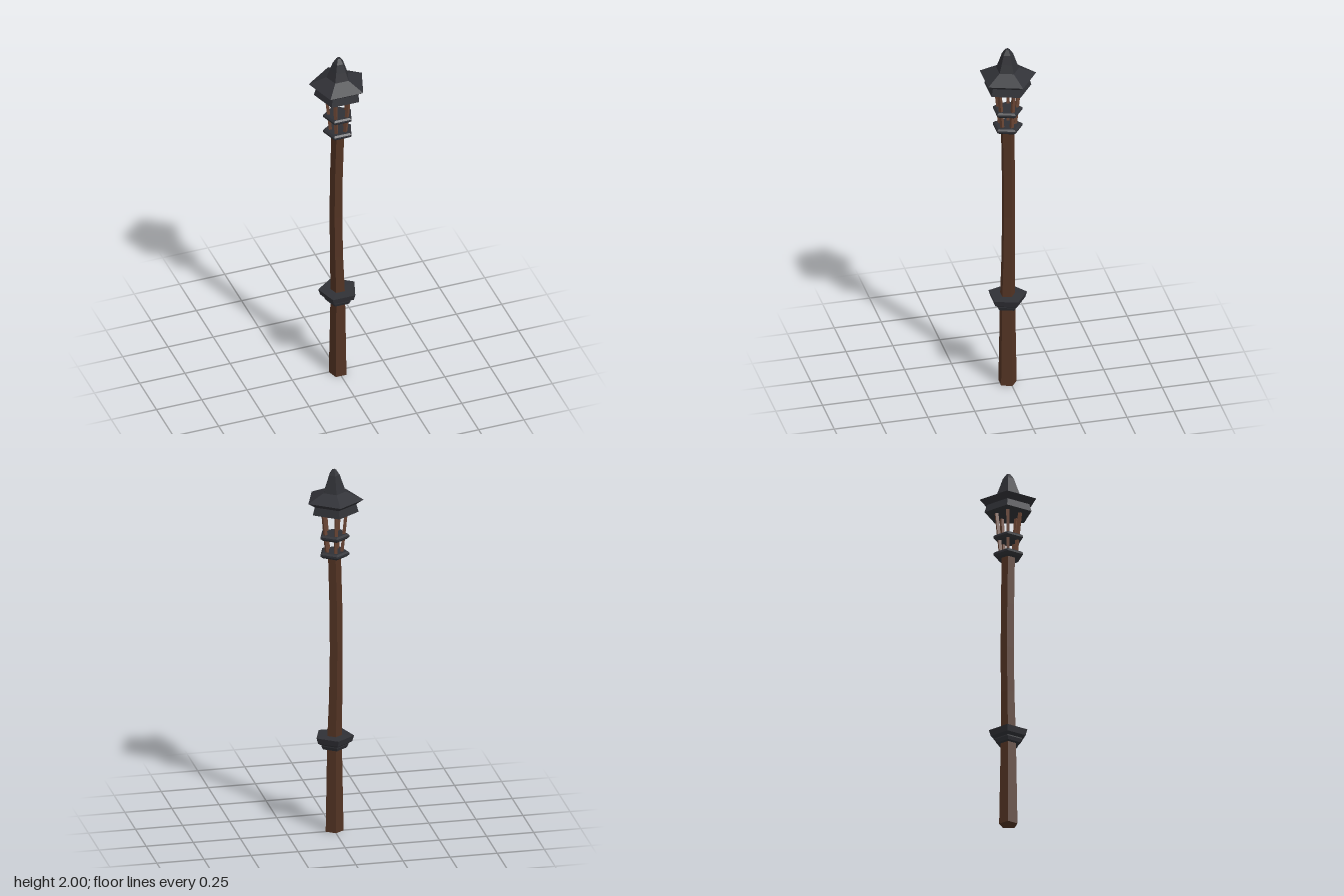
import * as THREE from 'three';

const AXIS_Z = 0.014; // the five-sided axis, offset so the bounds are centred
const wood = new THREE.MeshStandardMaterial({ color: 0x523323, flatShading: true });
const paleWood = new THREE.MeshStandardMaterial({ color: 0x6b4635, flatShading: true });
const metal = new THREE.MeshStandardMaterial({ color: 0x303136, flatShading: true });

// Five-sided turned solid from [radius, height] pairs, one corner facing the back
function pentagonLathe(profile) {
  const points = profile.map(([r, y]) => new THREE.Vector2(r, y));
  return new THREE.LatheGeometry(points, 5, Math.PI);
}

function addPart(group, name, geometry, material) {
  const mesh = new THREE.Mesh(geometry, material);
  mesh.name = name;
  group.add(mesh);
  return mesh;
}

export function createModel() {
  const lamp = new THREE.Group();
  lamp.name = 'lampPost';
  const body = new THREE.Group();
  body.name = 'body';
  body.position.z = AXIS_Z;
  lamp.add(body);

  // Tapered wooden pole, slightly bowed above the collar
  const pole = pentagonLathe([
    [0, 0], [0.05, 0], [0.041, 0.5], [0.037, 0.75], [0.036, 1],
    [0.036, 1.25], [0.036, 1.54], [0, 1.54],
  ]);
  const pos = pole.attributes.position;
  for (let i = 0; i < pos.count; i++) {
    const t = THREE.MathUtils.clamp((pos.getY(i) - 0.5) / 1.04, 0, 1);
    const bow = -0.008 * Math.sin(Math.PI * t);
    pos.setX(i, pos.getX(i) + bow);
    pos.setZ(i, pos.getZ(i) + bow);
  }
  addPart(body, 'pole', pole, wood);

  // Stepped collar on the lower pole
  addPart(body, 'collar', pentagonLathe([
    [0, 0.46], [0.066, 0.46], [0.075, 0.478], [0.075, 0.484],
    [0.095, 0.496], [0.105, 0.528], [0, 0.53],
  ]), metal);

  // Two rings around the lantern cage
  [['lowerRing', 1.52], ['upperRing', 1.617]].forEach(([name, y]) => {
    addPart(body, name, pentagonLathe([
      [0, y], [0.066, y], [0.081, y + 0.012], [0.081, y + 0.022], [0.07, y + 0.03], [0, y + 0.03],
    ]), metal);
  });

  // Slanted cage bars at the five corners
  const up = new THREE.Vector3(0, 1, 0);
  for (let i = 0; i < 5; i++) {
    const a = Math.PI + (i * Math.PI * 2) / 5;
    const foot = new THREE.Vector3(Math.sin(a) * 0.04, 1.53, Math.cos(a) * 0.04);
    const head = new THREE.Vector3(Math.sin(a) * 0.066, 1.79, Math.cos(a) * 0.066);
    const dir = head.clone().sub(foot);
    const bar = addPart(body, 'cageBar', new THREE.BoxGeometry(0.016, dir.length(), 0.016), paleWood);
    bar.position.copy(foot).add(head).multiplyScalar(0.5);
    bar.quaternion.setFromUnitVectors(up, dir.normalize())
      .multiply(new THREE.Quaternion().setFromAxisAngle(up, a));
  }

  // Two-tier roof
  addPart(body, 'roof', pentagonLathe([
    [0, 1.77], [0.128, 1.77], [0.116, 1.812], [0.154, 1.838], [0.063, 1.88], [0, 1.88],
  ]), metal);

  // Spire
  addPart(body, 'spire', pentagonLathe([
    [0.063, 1.878], [0.046, 1.925], [0.03, 1.972], [0.011, 2], [0, 2],
  ]), metal);

  return lamp;
}
